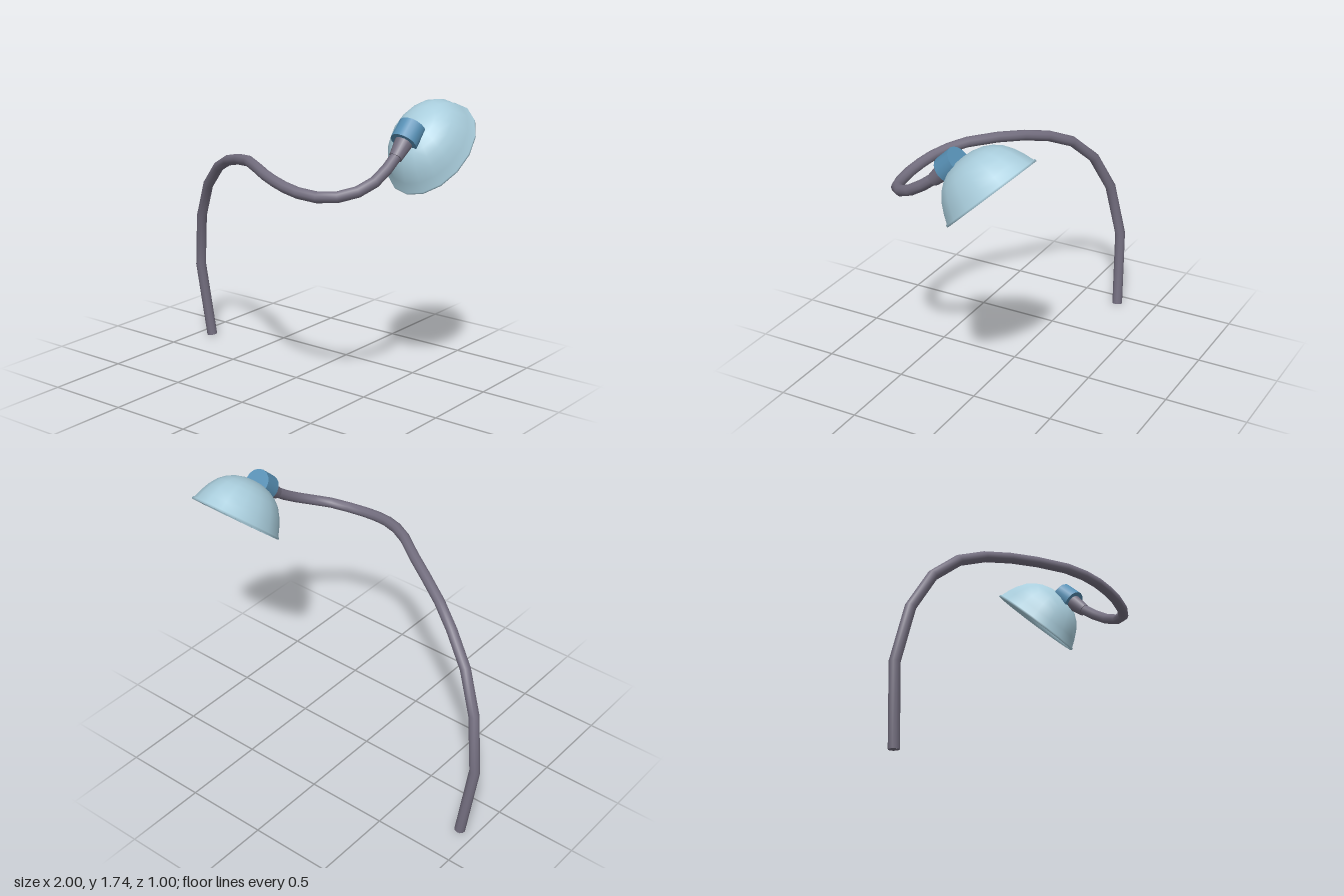
import * as THREE from 'three';

const mat = (name, color, side = THREE.FrontSide) =>
  Object.assign(new THREE.MeshStandardMaterial({ color, side }), { name });

// Path that passes straight through its points, one tube ring at each
class PointPath extends THREE.Curve {
  constructor(points) {
    super();
    this.points = points.map(p => new THREE.Vector3(...p));
  }
  getPoint(t, target = new THREE.Vector3()) {
    const f = THREE.MathUtils.clamp(t, 0, 1) * (this.points.length - 1);
    const i = Math.min(Math.floor(f), this.points.length - 2);
    return target.lerpVectors(this.points[i], this.points[i + 1], f - i);
  }
  getPointAt(u, target) { return this.getPoint(u, target); }
  getTangentAt(u, target = new THREE.Vector3()) {
    const d = 0.002;
    return target.copy(this.getPoint(u + d)).sub(this.getPoint(u - d)).normalize();
  }
}

export function createModel() {
  const model = new THREE.Group();
  const grey = mat('armGrey', 0x746f80);
  const blue = mat('socketBlue', 0x5790b5);
  const pale = mat('shadePaleBlue', 0xa9cddc);

  const add = (parent, name, geometry, material, pos = [0, 0, 0]) => {
    const mesh = new THREE.Mesh(geometry, material);
    mesh.name = name;
    mesh.position.set(...pos);
    parent.add(mesh);
    return mesh;
  };

  // Long bent arm
  const path = new PointPath([
    [-0.906, 0.004, -0.265], [-0.97, 0.475, -0.24], [-0.91, 0.815, -0.19],
    [-0.794, 1.045, -0.125], [-0.64, 1.195, -0.05], [-0.49, 1.27, 0.035],
    [-0.334, 1.315, 0.12], [-0.18, 1.342, 0.21], [-0.02, 1.347, 0.325],
    [0.09, 1.336, 0.39], [0.19, 1.322, 0.43], [0.28, 1.307, 0.452],
    [0.38, 1.293, 0.462], [0.5, 1.286, 0.45], [0.607, 1.296, 0.41],
    [0.685, 1.322, 0.335], [0.73, 1.365, 0.245], [0.745, 1.42, 0.155],
    [0.75, 1.48, 0.075]
  ]);
  add(model, 'arm', new THREE.TubeGeometry(path, path.points.length - 1, 0.032, 10), grey);

  // Disc closing the foot of the arm
  const foot = add(model, 'armEnd', new THREE.CircleGeometry(0.032, 10), grey, path.points[0].toArray());
  foot.lookAt(path.points[0].clone().multiplyScalar(2).sub(path.points[1]));

  // Tilted lamp head: local y is the back of the shade, local z runs down its length
  const head = new THREE.Group();
  head.name = 'lampHead';
  head.position.set(0.75, 1.46, -0.27);
  head.rotation.x = 0.752;
  model.add(head);

  // Oval bowl shade: inner wall from the crown to the rim, then outer wall back up
  const wall = [[0, 1], [0.2, 0.985], [0.4, 0.92], [0.56, 0.82], [0.7, 0.68],
    [0.82, 0.48], [0.91, 0.26], [0.97, 0.07]];
  const profile = [
    ...wall.map(([r, y]) => new THREE.Vector2(r * 0.96, y * 0.95)),
    new THREE.Vector2(0.965, 0), new THREE.Vector2(1, 0), new THREE.Vector2(1, 0.05),
    ...wall.slice().reverse().map(([r, y]) => new THREE.Vector2(r, y))
  ];
  const shade = new THREE.LatheGeometry(profile, 16);
  shade.scale(0.248, 0.247, 0.318);
  add(head, 'shade', shade, pale);

  // Socket set through the crown of the shade, and the flared collar joining the arm
  add(head, 'socket', new THREE.CylinderGeometry(0.078, 0.078, 0.115, 16), blue, [0, 0.249, 0.089])
    .rotation.x = Math.PI / 2;
  add(head, 'collar', new THREE.CylinderGeometry(0.038, 0.052, 0.105, 12), grey, [0, 0.249, 0.196])
    .rotation.x = Math.PI / 2;

  return model;
}
